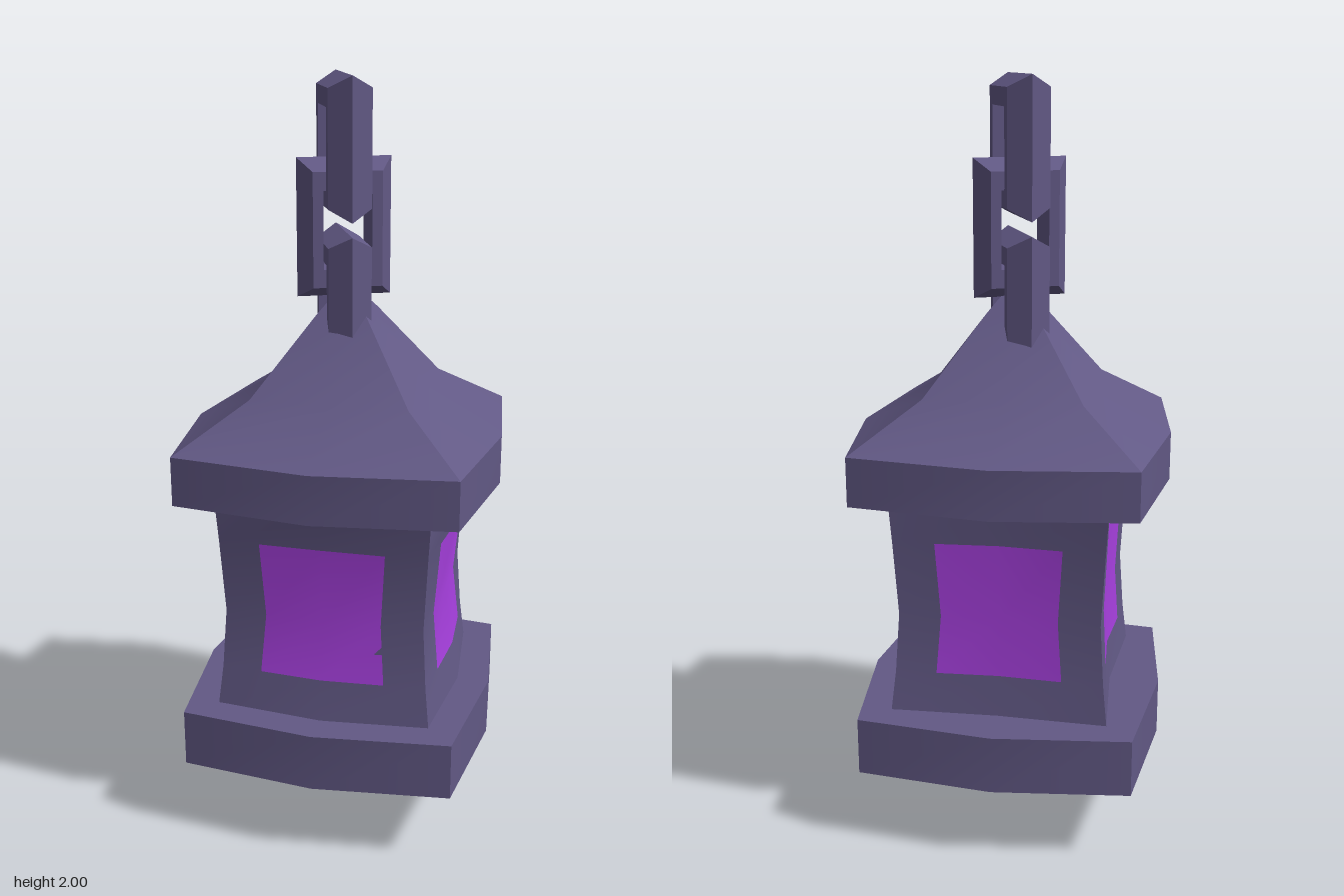
import * as THREE from 'three';
import { toCreasedNormals } from 'three/addons/utils/BufferGeometryUtils.js';

// A ring is { y, c: corner half-width, m: mid-side distance (or [front, left, back, right]) }
const midOf = (ring, s) => (Array.isArray(ring.m) ? ring.m[s] : ring.m);

// Point on one side of a ring, w = sideways offset from the middle of that side
function sidePoint(ring, s, w, lift = 0) {
  const a = s * Math.PI / 2;
  const mid = midOf(ring, s);
  const d = mid + (ring.c - mid) * Math.abs(w) / ring.c + lift;
  return [
    Math.sin(a) * d + Math.cos(a) * w + 0.004,
    ring.y,
    Math.cos(a) * d - Math.sin(a) * w - 0.003,
  ];
}

// Skin a grid of points (rows x columns) with outward faces
function skin(rows, closed, crease) {
  const pos = [];
  for (let i = 0; i < rows.length - 1; i++) {
    const n = rows[i].length;
    for (let j = 0; j < (closed ? n : n - 1); j++) {
      const k = (j + 1) % n;
      const a = rows[i][j], b = rows[i][k], c = rows[i + 1][k], d = rows[i + 1][j];
      pos.push(...a, ...b, ...c, ...a, ...c, ...d);
    }
  }
  const g = new THREE.BufferGeometry();
  g.setAttribute('position', new THREE.Float32BufferAttribute(pos, 3));
  return toCreasedNormals(g, crease);
}

// Bulged square shell through a stack of rings
function shell(rings) {
  const rows = rings.map((r) => {
    const pts = [];
    for (let s = 0; s < 4; s++) pts.push(sidePoint(r, s, 0), sidePoint(r, s, r.c));
    return pts;
  });
  return skin(rows, true, 0.6);
}

// Rectangular chain link whose bar has a ridge on the outside
function linkGeometry() {
  const profile = [
    [0.123, 0.178, 0], [0.09, 0.147, 0.056], [0.063, 0.1, 0.056],
    [0.063, 0.1, -0.056], [0.09, 0.147, -0.056],
  ];
  const corners = [[1, 1], [-1, 1], [-1, -1], [1, -1], [1, 1]];
  // reversed so that the faces look outward
  const rows = corners.reverse().map(([sx, sy]) => profile.map(([a, b, z]) => [a * sx, b * sy, z]));
  return skin(rows, true, 0.1);
}

export function createModel() {
  const model = new THREE.Group();
  model.name = 'lantern';

  const stone = new THREE.MeshStandardMaterial({ color: 0x625985 });
  stone.name = 'duskyMetal';
  const glow = new THREE.MeshStandardMaterial({ color: 0xa840e0 });
  glow.name = 'purpleGlass';

  const add = (name, geometry, material) => {
    const mesh = new THREE.Mesh(geometry, material);
    mesh.name = name;
    model.add(mesh);
    return mesh;
  };

  // Pointed base with a flat ledge
  add('base', shell([
    { y: 0, c: 0.002, m: 0.002 },
    { y: 0.205, c: 0.363, m: 0.405 },
    { y: 0.36, c: 0.363, m: 0.405 },
    { y: 0.36, c: 0.1, m: 0.1 },
    { y: 0.36, c: 0.002, m: 0.002 },
  ]), stone);

  // Waisted body, with uneven bulges on its four sides
  const body = [
    { y: 0.35, c: 0.29, m: [0.32, 0.32, 0.28, 0.27] },
    { y: 0.47, c: 0.277, m: [0.297, 0.297, 0.262, 0.255] },
    { y: 0.63, c: 0.267, m: [0.268, 0.272, 0.25, 0.248] },
    { y: 0.835, c: 0.278, m: [0.282, 0.3, 0.26, 0.255] },
    { y: 0.93, c: 0.284, m: [0.3, 0.335, 0.27, 0.265] },
  ];
  add('body', shell(body), stone);

  // Glowing windows laid on each side
  const names = ['frontWindow', 'leftWindow', 'backWindow', 'rightWindow'];
  names.forEach((name, s) => {
    const rows = body.slice(1, 4).map((r, i) => {
      const w = i === 1 ? 0.155 : 0.167;
      return [-w, 0, w].map((x) => sidePoint(r, s, x, 0.004));
    });
    add(name, skin(rows, false, 0.6), glow);
  });

  // Roof with sloping eaves, a rim and a flared peak
  add('roof', shell([
    { y: 0.92, c: 0.002, m: 0.002 },
    { y: 0.92, c: 0.28, m: 0.31 },
    { y: 0.955, c: 0.368, m: 0.417 },
    { y: 1.085, c: 0.368, m: 0.417 },
    { y: 1.2, c: 0.208, m: 0.222 },
    { y: 1.4, c: 0.066, m: 0.068 },
    { y: 1.48, c: 0.002, m: 0.002 },
  ]), stone);

  // Chain of three links, each turned a quarter from the next
  const link = linkGeometry();
  [['lowerLink', 1.43, -1.153], ['middleLink', 1.6175, 0.43], ['upperLink', 1.822, -1.153]]
    .forEach(([name, y, turn]) => {
      const mesh = add(name, link, stone);
      mesh.position.set(-0.008, y, -0.0125);
      mesh.rotation.y = turn;
    });

  return model;
}
